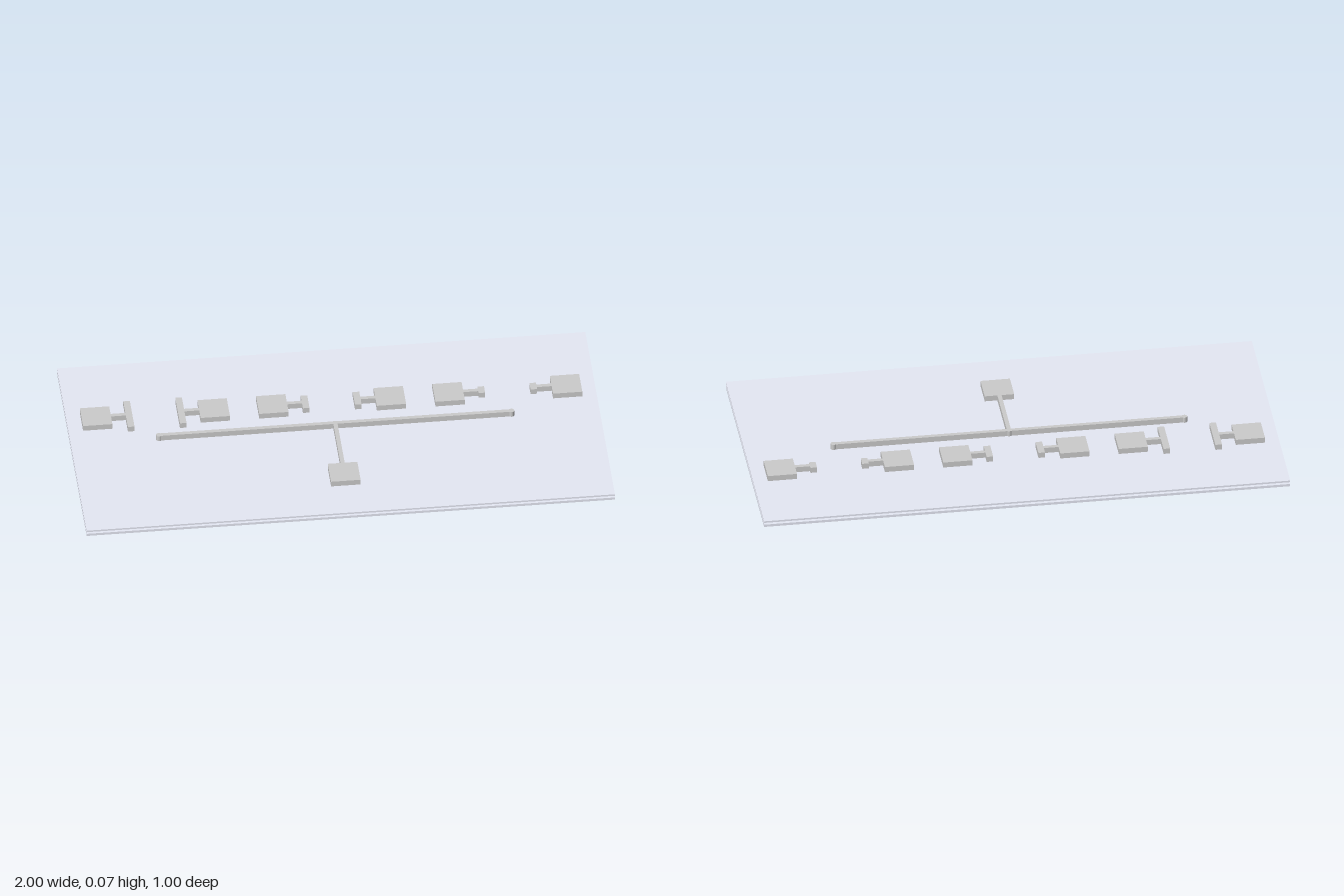
import * as THREE from 'three';

export function createModel() {
  const model = new THREE.Group();
  const mat = (color) => new THREE.MeshStandardMaterial({ color, flatShading: true });
  const grey = mat(0xcccccc), plate = mat(0xe6e9f5), red = mat(0xe08484), green = mat(0x98d898);

  const add = (parent, name, geometry, material, x, y, z) => {
    const mesh = new THREE.Mesh(geometry, material);
    mesh.name = name;
    mesh.position.set(x, y, z);
    parent.add(mesh);
  };
  // Box and disc given by their extents; layer is [bottom, top]
  const slab = (parent, name, material, [y0, y1], x0, x1, z0, z1) =>
    add(parent, name, new THREE.BoxGeometry(Math.abs(x1 - x0), y1 - y0, z1 - z0), material,
      (x0 + x1) / 2, (y0 + y1) / 2, (z0 + z1) / 2);
  const disc = (parent, name, material, [y0, y1], x, z) =>
    add(parent, name, new THREE.CylinderGeometry(0.011, 0.011, y1 - y0, 24), material,
      x, (y0 + y1) / 2, z);

  // Stacked layers
  const outlets = [0, 0.012], lowerChambers = [0.013, 0.023], lower = [0.023, 0.033];
  const gap = [0.033, 0.041], upper = [0.041, 0.048], tracks = [0.048, 0.07];
  slab(model, 'lowerPlate', plate, lower, -1, 1, -0.5, 0.5);
  slab(model, 'upperPlate', plate, upper, -1, 1, -0.5, 0.5);

  // Three cells with progressively narrower chambers
  const zc = -0.165, zPort = -0.026;
  [[-0.667, 0.079], [0, 0.039], [0.667, 0.02]].forEach(([x, half], i) => {
    const cell = new THREE.Group();
    cell.name = `cell${i + 1}`;
    cell.position.x = x;
    model.add(cell);
    slab(cell, 'lowerChamber', red, lowerChambers, -0.11, 0.11, zc - half, zc + half);
    slab(cell, 'middleChamber', grey, gap, -0.11, 0.11, zc - half, zc + half);
    // Mirrored side contacts: pad, neck and end bar
    for (const s of [-1, 1]) {
      slab(cell, 'contactPad', grey, tracks, s * 0.167, s * 0.278, zc - 0.055, zc + 0.055);
      slab(cell, 'contactNeck', grey, tracks, s * 0.111, s * 0.167, zc - 0.008, zc + 0.008);
      slab(cell, 'contactBar', grey, tracks, s * 0.086, s * 0.111, zc - half, zc + half);
    }
    // Vertical port in each layer
    disc(cell, 'outletPort', green, outlets, 0, zPort);
    disc(cell, 'middlePort', grey, gap, 0, zPort);
    disc(cell, 'upperPort', grey, tracks, 0, zPort);
  });

  // Shared T-shaped feed line
  slab(model, 'feedBar', grey, tracks, -0.667, 0.667, zPort - 0.008, zPort + 0.008);
  slab(model, 'feedStem', grey, tracks, -0.008, 0.008, zPort + 0.008, 0.222);
  slab(model, 'feedPad', grey, tracks, -0.056, 0.056, 0.222, 0.333);
  return model;
}
